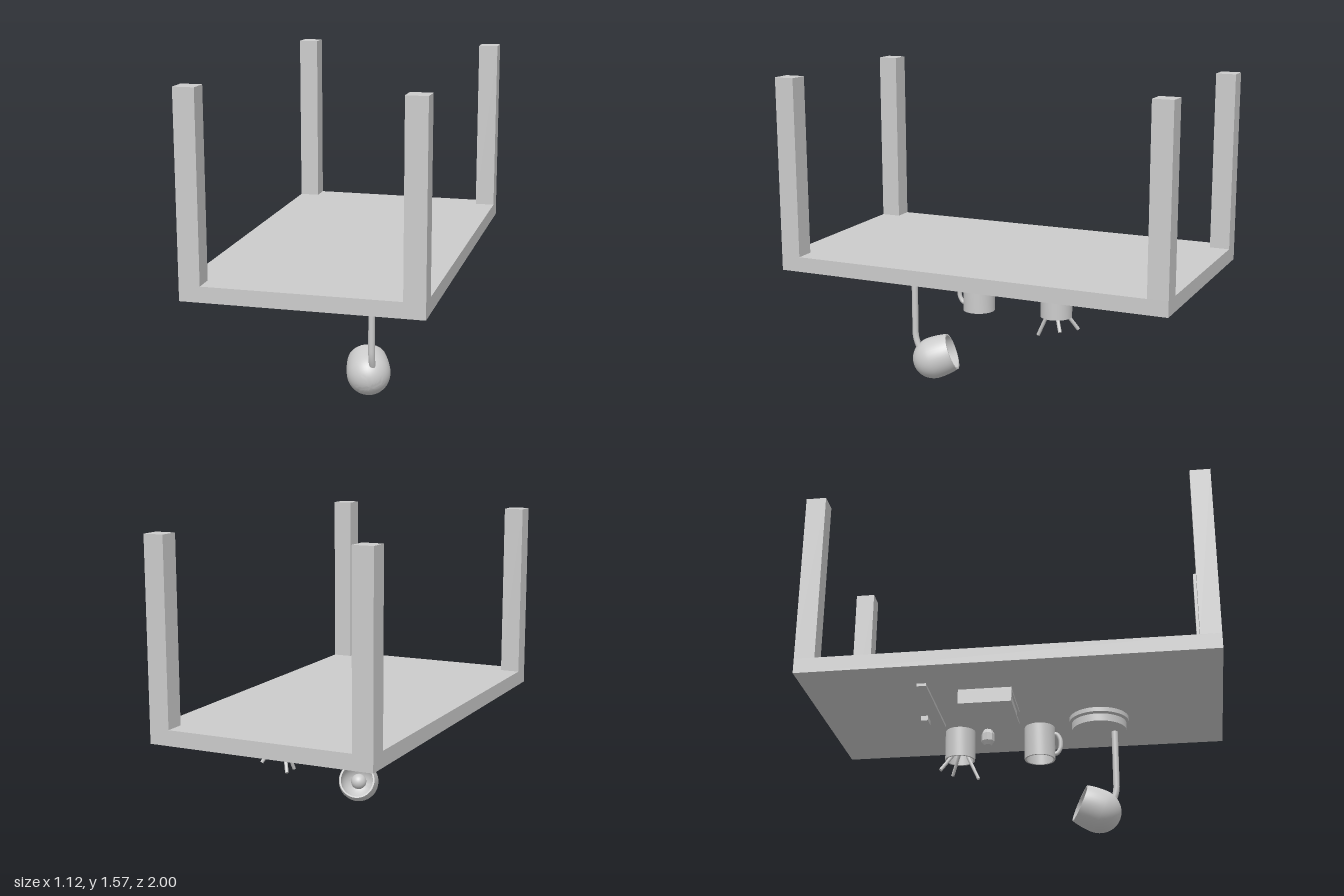
import * as THREE from 'three';
import { toCreasedNormals } from 'three/addons/utils/BufferGeometryUtils.js';

const material = new THREE.MeshStandardMaterial({ color: 0xcccccc });
const shell = new THREE.MeshStandardMaterial({ color: 0xcccccc, side: THREE.DoubleSide });

function add(parent, name, geometry, x = 0, y = 0, z = 0, mat = material) {
  const mesh = new THREE.Mesh(geometry, mat);
  mesh.name = name;
  mesh.position.set(x, y, z);
  parent.add(mesh);
  return mesh;
}

// Box given by its lower and upper limits
function box(parent, name, [x0, x1], [y0, y1], [z0, z1]) {
  return add(parent, name, new THREE.BoxGeometry(x1 - x0, y1 - y0, z1 - z0),
    (x0 + x1) / 2, (y0 + y1) / 2, (z0 + z1) / 2);
}

function lathe(points, sides = 40) {
  const profile = points.map(([r, y]) => new THREE.Vector2(r, y));
  return toCreasedNormals(new THREE.LatheGeometry(profile, sides), 0.6);
}

// Straight round rod between two points
function rod(parent, name, from, to, radius, sides = 8) {
  const a = new THREE.Vector3(...from), b = new THREE.Vector3(...to);
  const mesh = add(parent, name, new THREE.CylinderGeometry(radius, radius, a.distanceTo(b), sides));
  mesh.position.copy(a).add(b).multiplyScalar(0.5);
  mesh.quaternion.setFromUnitVectors(new THREE.Vector3(0, 1, 0), b.sub(a).normalize());
}

function group(parent, name) {
  const g = new THREE.Group();
  g.name = name;
  parent.add(g);
  return g;
}

// Hollow cup, closed above and open below
function cup(parent, name, x, y, z, radius, height) {
  const w = 0.009;
  return add(parent, name, lathe([
    [0, height - w], [radius - w, height - w], [radius - w, 0],
    [radius, 0], [radius, height], [0, height],
  ]), x, y, z, shell);
}

export function createModel() {
  const model = new THREE.Group();
  model.name = 'upturnedDesk';

  // Desk, legs pointing up
  const desk = group(model, 'desk');
  box(desk, 'deskTop', [-0.56, 0.56], [0.61, 0.685], [-1, 1]);
  for (const sx of [-1, 1]) for (const sz of [-1, 1]) {
    add(desk, 'leg', new THREE.BoxGeometry(0.1, 0.885, 0.1), sx * 0.51, 1.1275, sz * 0.95);
  }

  // Lamp base: two discs joined by a narrower neck
  const lamp = group(model, 'lamp');
  add(lamp, 'lampBase', lathe([
    [0, 0.54], [0.138, 0.54], [0.138, 0.578], [0.12, 0.578],
    [0.12, 0.586], [0.15, 0.586], [0.15, 0.608], [0, 0.608],
  ], 48), 0.17, 0, 0.38);

  // Stem with a bend into the shade
  const stem = new THREE.CurvePath();
  const p = (y, z) => new THREE.Vector3(0.19, y, z);
  stem.add(new THREE.LineCurve3(p(0.55, 0.456), p(0.25, 0.456)));
  stem.add(new THREE.QuadraticBezierCurve3(p(0.25, 0.456), p(0.205, 0.456), p(0.15, 0.425)));
  add(lamp, 'lampStem', new THREE.TubeGeometry(stem, 40, 0.016, 16));

  // Shade: egg-shaped bowl, open along its local +y
  const head = group(lamp, 'lampHead');
  head.position.set(0.155, 0.11, 0.37);
  head.quaternion.setFromUnitVectors(new THREE.Vector3(0, 1, 0),
    new THREE.Vector3(-0.3, 0.35, -0.88).normalize());
  const bowl = [];
  for (let i = 0; i <= 16; i++) {
    const t = (i / 16) * 2.05;
    bowl.push([0.107 * Math.sin(t), 0.003 - (t < Math.PI / 2 ? 0.112 : 0.215) * Math.cos(t)]);
  }
  const inner = bowl.map(([r, y]) => [r * 0.91, y < 0 ? y * 0.91 : y]).reverse();
  add(head, 'lampShade', lathe([...bowl, ...inner]), 0, 0, 0, shell);
  add(head, 'bulb', new THREE.SphereGeometry(0.042, 24, 16), 0, 0.01, 0);
  add(head, 'bulbSocket', new THREE.CylinderGeometry(0.024, 0.024, 0.08, 20), 0, -0.06, 0);

  // Mug with a handle
  const mug = group(model, 'mug');
  cup(mug, 'mugBody', 0.24, 0.43, 0.07, 0.078, 0.172);
  const h = (y, z) => new THREE.Vector3(0.24, y, z);
  const handle = new THREE.CatmullRomCurve3([
    h(0.565, 0.14), h(0.562, 0.158), h(0.535, 0.174), h(0.51, 0.177),
    h(0.485, 0.174), h(0.46, 0.158), h(0.457, 0.14),
  ]);
  add(mug, 'mugHandle', new THREE.TubeGeometry(handle, 32, 0.011, 12));

  // Pencil cup
  const holder = group(model, 'pencilHolder');
  cup(holder, 'holderCup', 0.24, 0.447, -0.342, 0.077, 0.155);
  rod(holder, 'pencil', [0.25, 0.588, -0.36], [0.225, 0.335, -0.242], 0.009);
  rod(holder, 'pencil', [0.26, 0.588, -0.3], [0.165, 0.37, -0.428], 0.009);
  rod(holder, 'pencil', [0.22, 0.588, -0.31], [0.323, 0.395, -0.395], 0.009);

  // Small bottle with a tapered cap
  const bottle = new THREE.LatheGeometry(
    [[0, 0.525], [0.018, 0.525], [0.034, 0.545], [0.034, 0.585], [0.022, 0.608], [0, 0.608]]
      .map(([r, y]) => new THREE.Vector2(r, y)), 8);
  add(model, 'inkBottle', toCreasedNormals(bottle, 0.3), 0.245, 0, -0.2);

  // Book: two covers, a spine and an inset page block
  const book = group(model, 'book');
  box(book, 'frontCover', [-0.275, 0.01], [0.535, 0.546], [-0.265, -0.005]);
  box(book, 'backCover', [-0.275, 0.01], [0.597, 0.608], [-0.265, -0.005]);
  box(book, 'spine', [-0.275, -0.264], [0.546, 0.597], [-0.265, -0.005]);
  box(book, 'pages', [-0.264, 0], [0.546, 0.597], [-0.245, -0.015]);

  // Ruler and eraser
  box(model, 'ruler', [-0.37, 0.15], [0.594, 0.608], [-0.448, -0.402]);
  box(model, 'eraser', [0.015, 0.085], [0.583, 0.608], [-0.505, -0.47]);

  return model;
}
